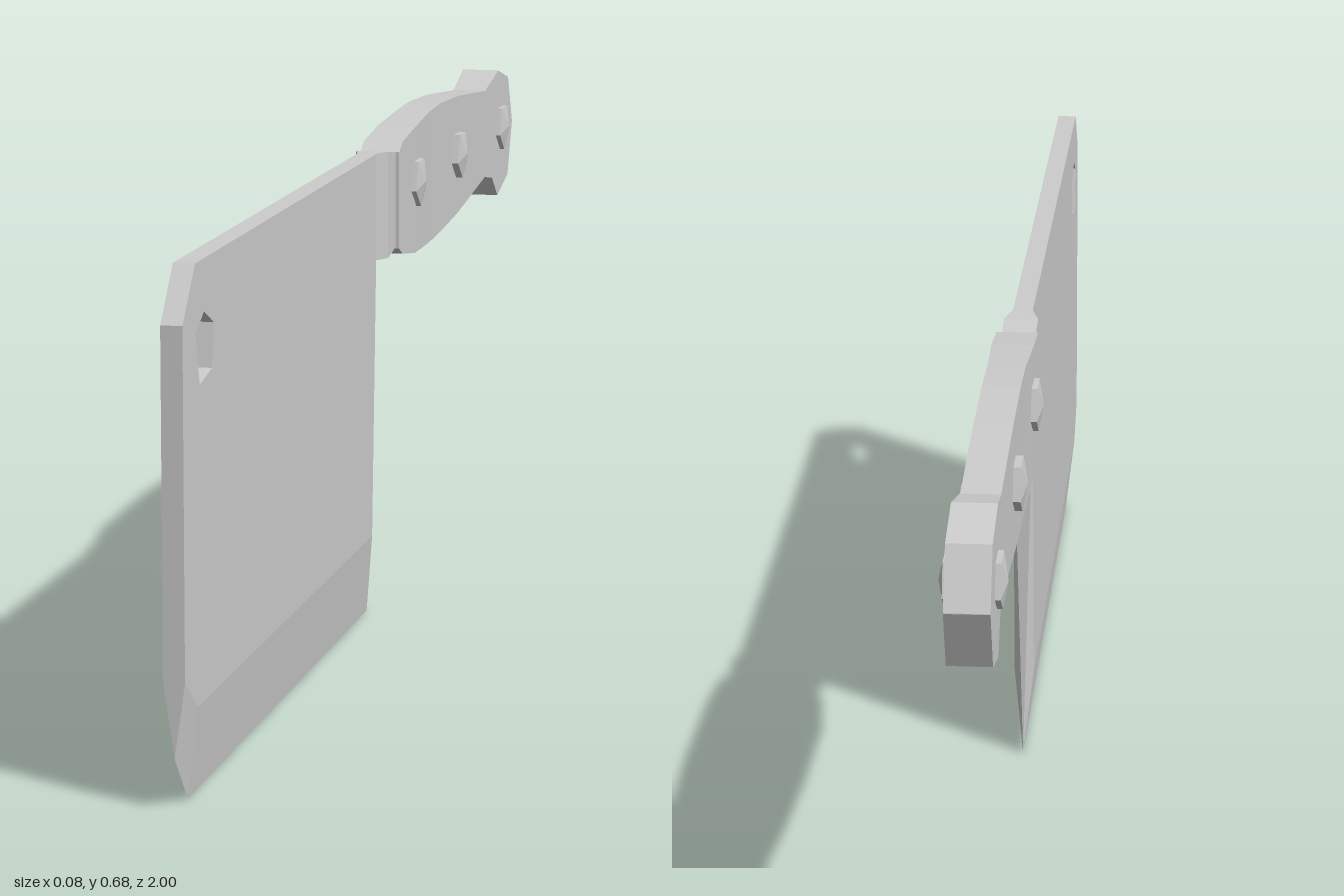
import * as THREE from 'three';

const HALF = 0.0135; // half thickness of the blade

// Flat faces (polygons as fans) from corner lists [x, y, z]
function facesGeometry(faces) {
  const pos = [];
  for (const f of faces)
    for (let i = 1; i < f.length - 1; i++) pos.push(...f[0], ...f[i], ...f[i + 1]);
  const g = new THREE.BufferGeometry();
  g.setAttribute('position', new THREE.Float32BufferAttribute(pos, 3));
  g.computeVertexNormals();
  return g;
}

// Rectangular sections [z, bottom, top, half width], running front to back
function loft(sections) {
  const rings = sections.map(([z, b, t, h]) => [[h, t, z], [-h, t, z], [-h, b, z], [h, b, z]]);
  const faces = [rings[0], [...rings[rings.length - 1]].reverse()];
  for (let k = 0; k < rings.length - 1; k++)
    for (let i = 0; i < 4; i++) {
      const j = (i + 1) % 4;
      faces.push([rings[k][i], rings[k + 1][i], rings[k + 1][j], rings[k][j]]);
    }
  return facesGeometry(faces);
}

export function createModel() {
  const group = new THREE.Group();
  const steel = new THREE.MeshStandardMaterial({ color: 0xcccccc, flatShading: true });
  steel.name = 'grey steel';
  const add = (name, geometry) => {
    const mesh = new THREE.Mesh(geometry, steel);
    mesh.name = name;
    group.add(mesh);
    return mesh;
  };

  // Blade plate with a five-sided hanging hole, drawn in (z, y)
  const points = (list) => list.map(([z, y]) => new THREE.Vector2(z, y));
  const bevelLine = [[1, 0.165], [0.94, 0.12], [-0.03, 0.12], [-0.055, 0.51]];
  const plate = new THREE.Shape(points([[-0.055, 0.66], [0.94, 0.66], [1, 0.595], ...bevelLine]));
  plate.holes.push(new THREE.Path(points(
    [[0.94, 0.575], [0.9, 0.596], [0.853, 0.575], [0.864, 0.521], [0.922, 0.511]])));
  const plateGeometry = new THREE.ExtrudeGeometry(plate, { depth: HALF * 2, bevelEnabled: false });
  plateGeometry.translate(0, 0, -HALF).rotateY(-Math.PI / 2);
  add('blade', plateGeometry);

  // Ground cutting edge and tapered heel
  const edge = [[1, 0.07], [0.94, 0.005], [-0.055, 0.005]].map(([z, y]) => [0, y, z]);
  const side = (s) => bevelLine.map(([z, y]) => [s * HALF, y, z]);
  const L = side(1), R = side(-1);
  const faces = [[L[0], R[0], edge[0]], [R[3], L[3], edge[2]]];
  for (const [S, left] of [[L, true], [R, false]])
    for (const f of [
      [S[0], edge[0], edge[1], S[1]],
      [S[1], edge[1], edge[2], S[2]],
      [S[2], edge[2], S[3]],
    ]) faces.push(left ? f : f.reverse());
  add('cuttingEdge', facesGeometry(faces));

  // Neck between blade and handle
  add('neck', loft([
    [-0.055, 0.51, 0.66, HALF],
    [-0.09, 0.508, 0.659, 0.023],
    [-0.135, 0.515, 0.652, 0.023],
    [-0.16, 0.515, 0.652, 0.023],
  ]));

  // Handle with a swollen grip and a flared butt
  add('handle', loft([
    [-0.14, 0.514, 0.652, 0.028],
    [-0.165, 0.503, 0.664, 0.028],
    [-0.25, 0.491, 0.674, 0.028],
    [-0.36, 0.489, 0.682, 0.025],
    [-0.45, 0.493, 0.685, 0.025],
    [-0.58, 0.503, 0.68, 0.025],
    [-0.79, 0.528, 0.663, 0.025],
    [-0.84, 0.52, 0.675, 0.027],
    [-0.88, 0.487, 0.685, 0.028],
    [-0.965, 0.51, 0.665, 0.028],
    [-1, 0.59, 0.591, 0.028],
  ]));

  // Five-sided rivets through the handle, pointed on both sides
  const rivetProfile = points([[0, -0.042], [0.037, -0.035], [0.037, 0.035], [0, 0.042]]);
  [-0.26, -0.565, -0.9].forEach((z, i) => {
    const g = new THREE.LatheGeometry(rivetProfile, 5, 0.3).rotateZ(-Math.PI / 2);
    add('rivet' + (i + 1), g).position.set(0, 0.595, z);
  });

  return group;
}
